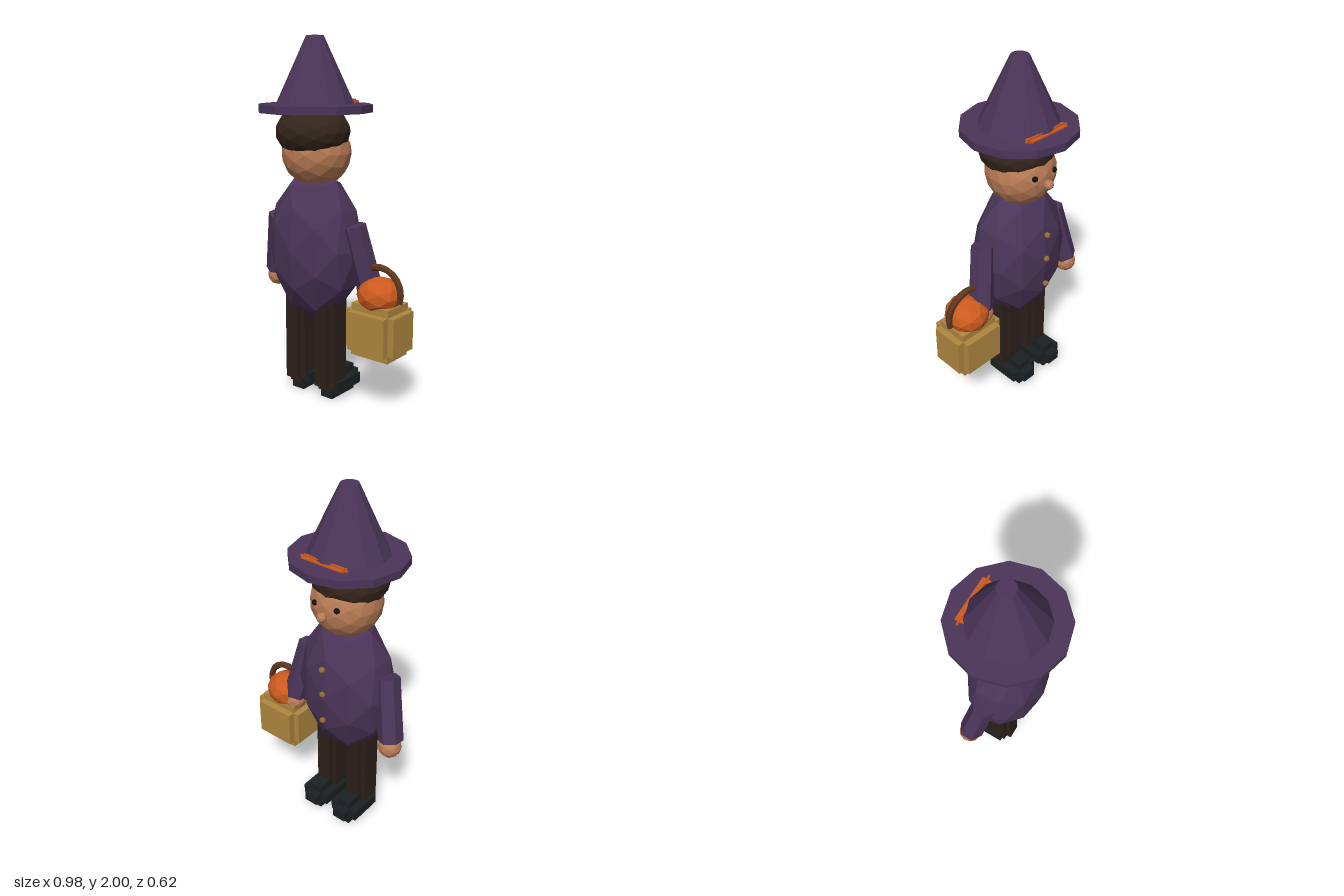
import * as THREE from 'three';

const mat = (color) => new THREE.MeshStandardMaterial({ color, flatShading: true });
const MID = -0.085; // centre line of the figure

export function createModel() {
  const root = new THREE.Group();
  const purple = mat(0x4b3559), skin = mat(0xb97b55), hairMat = mat(0x33251b), trousers = mat(0x2c211c);
  const black = mat(0x1b2123), orange = mat(0xcc5a1e), wicker = mat(0xb08840), bark = mat(0x5c361f);
  const brass = mat(0x8f6c30), eyeMat = mat(0x111111);

  const add = (name, geo, material, x, y, z, parent = root) => {
    const m = new THREE.Mesh(geo, material);
    m.name = name;
    m.position.set(x, y, z);
    parent.add(m);
    return m;
  };
  // Faceted ellipsoid
  const ball = (name, material, x, y, z, rx, ry = rx, rz = rx, detail = 1) =>
    add(name, new THREE.IcosahedronGeometry(1, detail), material, x, y, z).scale.set(rx, ry, rz);
  // Box with stepped edges: three slabs, each full length along one axis only
  const steppedBox = (name, material, min, max, inset) => {
    const g = new THREE.Group();
    g.name = name;
    for (let axis = 0; axis < 3; axis++) {
      const size = [0, 1, 2].map((i) => max[i] - min[i] - (i === axis ? 0 : 2 * inset[i]));
      add(name + 'Slab', new THREE.BoxGeometry(...size), material,
        ...[0, 1, 2].map((i) => (min[i] + max[i]) / 2), g);
    }
    root.add(g);
  };

  // Hat
  add('hatBrim', new THREE.CylinderGeometry(0.31, 0.31, 0.042, 12), purple, MID, 1.623, 0);
  add('hatCone', new THREE.CylinderGeometry(0.047, 0.213, 0.354, 12), purple, MID, 1.823, 0);
  steppedBox('hatBuckle', orange, [-0.227, 1.643, -0.213], [0.063, 1.669, -0.166], [0.02, 0.009, 0.019]);

  // Head
  ball('head', skin, MID, 1.386, -0.012, 0.192, 0.192, 0.19, 2);
  ball('hair', hairMat, MID, 1.5, 0.018, 0.203, 0.148, 0.203, 2);
  ball('nose', skin, MID, 1.37, -0.213, 0.027);
  for (const s of [-1, 1]) ball('eye', eyeMat, MID + s * 0.07, 1.418, -0.182, 0.016);

  // Coat with buttons
  ball('coat', purple, MID, 0.873, 0, 0.287, 0.423, 0.219);
  for (const y of [1.058, 0.902, 0.73]) ball('button', brass, MID, y, -0.217, 0.017);

  for (const s of [-1, 1]) {
    // Sleeve leaning outwards and towards the face side, with a hand at its end
    const top = new THREE.Vector3(MID + s * 0.265, 1.015, 0);
    const end = new THREE.Vector3(MID + s * 0.338, 0.665, -0.055);
    const dir = top.clone().sub(end);
    const c = top.clone().add(end).multiplyScalar(0.5);
    const sleeve = add('sleeve', new THREE.CylinderGeometry(0.066, 0.07, dir.length(), 6), purple, c.x, c.y, c.z);
    sleeve.quaternion.setFromUnitVectors(new THREE.Vector3(0, 1, 0), dir.normalize());
    ball('hand', skin, MID + s * 0.34, 0.628, -0.062, 0.064);

    // Leg and shoe
    const x = MID + s * 0.106;
    steppedBox('leg', trousers, [x - 0.071, 0.05, -0.085], [x + 0.071, 0.72, 0.086], [0.031, 0.03, 0.03]);
    add('shoeSides', new THREE.BoxGeometry(0.174, 0.062, 0.2), black, x, 0.08, -0.065);
    add('shoeCore', new THREE.BoxGeometry(0.082, 0.155, 0.2), black, x, 0.0775, -0.065);
    add('shoeToe', new THREE.BoxGeometry(0.082, 0.062, 0.245), black, x, 0.08, -0.0875);
  }

  // Basket with pumpkin and handle
  steppedBox('basket', wicker, [0.18, 0.322, -0.162], [0.487, 0.613, 0.101], [0.036, 0.04, 0.039]);
  ball('pumpkin', orange, 0.335, 0.655, -0.03, 0.125, 0.1, 0.125);
  const handle = new THREE.TorusGeometry(0.132, 0.019, 6, 12, Math.PI * 1.2);
  handle.rotateZ(-Math.PI * 0.1);
  add('basketHandle', handle, bark, 0.333, 0.674, -0.03);

  return root;
}
